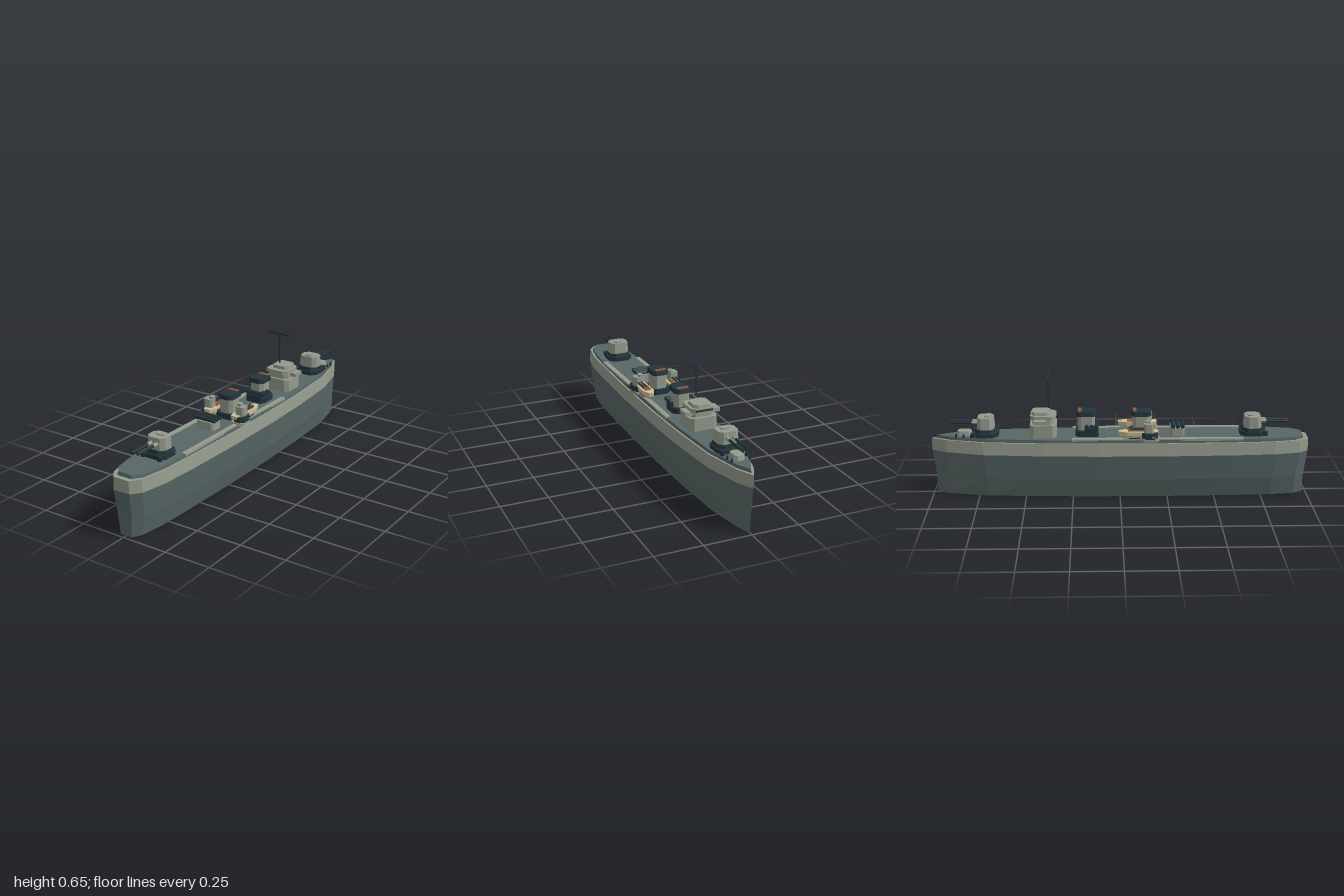
import * as THREE from 'three';

const paint = (name, color) => {
  const m = new THREE.MeshStandardMaterial({ color, flatShading: true });
  m.name = name;
  return m;
};

// Stacks scaled copies of a closed outline; levels are [y, scaleX, scaleZ]
function loft(outline, levels) {
  const n = outline.length, pos = [];
  const at = (l, i) => [outline[i % n][0] * l[1], l[0], outline[i % n][1] * l[2]];
  const tri = (...p) => p.forEach(v => pos.push(...v));
  for (let k = 0; k < levels.length - 1; k++) {
    const lo = levels[k], hi = levels[k + 1];
    for (let i = 0; i < n; i++) {
      tri(at(lo, i), at(hi, i), at(lo, i + 1));
      tri(at(lo, i + 1), at(hi, i), at(hi, i + 1));
    }
  }
  const bottom = levels[0], top = levels[levels.length - 1];
  for (let i = 0; i < n; i++) {
    tri([0, bottom[0], 0], at(bottom, i), at(bottom, i + 1));
    tri([0, top[0], 0], at(top, i + 1), at(top, i));
  }
  const g = new THREE.BufferGeometry();
  g.setAttribute('position', new THREE.Float32BufferAttribute(pos, 3));
  g.computeVertexNormals();
  return g;
}

// Mirrors the +x half of an outline (bow to stern) to the other side
const mirrored = half => [...half, ...half.filter(p => p[0] > 0).reverse().map(([x, z]) => [-x, z])];

// Rectangle with cut corners
const octagon = (w, d, c) => mirrored([[w / 2 - c, -d / 2], [w / 2, -d / 2 + c], [w / 2, d / 2 - c], [w / 2 - c, d / 2]]);

export function createModel() {
  const ship = new THREE.Group();
  ship.name = 'warship';
  const slate = paint('slate grey', 0x596767);
  const light = paint('light grey', 0x949b8d);
  const navy = paint('dark navy', 0x22343c);
  const cream = paint('cream', 0xcbc09a);
  const brown = paint('brown', 0x8c5c3c);

  const add = (parent, name, geo, mat, x = 0, y = 0, z = 0) => {
    const m = new THREE.Mesh(geo, mat);
    m.name = name;
    m.position.set(x, y, z);
    parent.add(m);
    return m;
  };
  const group = (name, x, y, z) => {
    const g = new THREE.Group();
    g.name = name;
    g.position.set(x, y, z);
    ship.add(g);
    return g;
  };
  const box = (p, name, mat, w, h, d, x, y, z) => add(p, name, new THREE.BoxGeometry(w, h, d), mat, x, y, z);
  // Cut-corner block standing on y
  const block = (p, name, mat, w, h, d, c, x, y, z, taper = 1) =>
    add(p, name, loft(octagon(w, d, c), [[0, 1, 1], [h, taper, taper]]), mat, x, y, z);
  // Rod lying along z or x
  const rod = (p, name, mat, r, len, axis, x, y, z) => {
    const g = new THREE.CylinderGeometry(r, r, len, 8);
    axis === 'z' ? g.rotateX(Math.PI / 2) : g.rotateZ(Math.PI / 2);
    return add(p, name, g, mat, x, y, z);
  };

  // Hull and deck
  const outline = mirrored([[0, -1], [0.043, -0.92], [0.095, -0.72], [0.121, -0.4], [0.132, -0.1],
    [0.133, 0.25], [0.125, 0.6], [0.114, 0.82], [0.088, 0.95], [0.048, 1]]);
  add(ship, 'lowerHull', loft(outline, [[0, 0.68, 0.98], [0.105, 0.88, 0.983], [0.24, 1, 1]]), slate);
  add(ship, 'upperHullBand', loft(outline, [[0.24, 1, 1], [0.307, 0.94, 1]]), light);
  add(ship, 'deck', loft(outline, [[0.306, 0.87, 0.975], [0.324, 0.86, 0.97]]), slate);
  for (const s of [-1, 1]) box(ship, 'deckEdgeStrip', light, 0.026, 0.012, 0.9, s * 0.1, 0.324, 0.197);

  // Twin-gun turrets; barrels point along local +z
  for (const [name, z, turn] of [['sternTurret', 0.705, 0], ['bowTurret', -0.71, Math.PI]]) {
    const t = group(name, 0, 0.322, z);
    t.rotation.y = turn;
    block(t, 'turretBase', navy, 0.134, 0.024, 0.135, 0.03, 0, 0, 0);
    block(t, 'turretRing', navy, 0.12, 0.02, 0.115, 0.028, 0, 0.022, 0, 0.94);
    block(t, 'gunHouse', light, 0.112, 0.062, 0.09, 0.022, 0, 0.041, 0, 0.92);
    block(t, 'roofHatch', light, 0.05, 0.007, 0.035, 0.008, 0, 0.102, -0.012);
    for (const s of [-1, 1]) {
      rod(t, 'gunBarrel', navy, 0.007, 0.16, 'z', s * 0.017, 0.074, 0.108);
      rod(t, 'barrelSleeve', light, 0.0095, 0.04, 'z', s * 0.017, 0.074, 0.052);
      block(t, 'ammoLocker', navy, 0.024, 0.026, 0.024, 0.006, s * 0.05, 0, 0.065);
    }
  }

  // Foredeck house and bollards
  block(ship, 'foredeckHatch', light, 0.058, 0.026, 0.085, 0.014, 0, 0.322, -0.825, 0.85);
  for (const s of [-1, 1])
    for (let i = 0; i < 3; i++)
      add(ship, 'bollard', new THREE.CylinderGeometry(0.006, 0.006, 0.018, 8), navy, s * (0.053 - i * 0.003), 0.331, -0.785 - i * 0.04);

  // Bridge
  const b = group('bridge', 0, 0.322, -0.405);
  block(b, 'bridgeLowerHouse', light, 0.15, 0.07, 0.14, 0.02, 0, 0, 0);
  block(b, 'bridgeMiddleHouse', light, 0.12, 0.03, 0.11, 0.018, 0, 0.068, 0);
  box(b, 'bridgeWings', light, 0.19, 0.02, 0.065, 0, 0.091, -0.015);
  block(b, 'bridgeUpperHouse', light, 0.13, 0.022, 0.135, 0.022, 0, 0.096, 0);
  block(b, 'bridgeRoof', light, 0.1, 0.018, 0.1, 0.018, 0, 0.117, -0.012, 0.94);
  box(b, 'bridgeWindows', navy, 0.09, 0.01, 0.004, 0, 0.107, -0.067);

  // Mast
  add(ship, 'mast', new THREE.CylinderGeometry(0.005, 0.005, 0.17, 8), navy, 0, 0.56, -0.375);
  box(ship, 'mastYard', navy, 0.137, 0.01, 0.01, 0, 0.643, -0.375);

  // Funnels
  for (const [name, z] of [['forwardFunnel', -0.177], ['aftFunnel', 0.113]]) {
    const f = group(name, 0, 0.322, z);
    block(f, 'funnelBase', navy, 0.114, 0.032, 0.115, 0.022, 0, 0, 0);
    block(f, 'funnelBody', light, 0.08, 0.082, 0.09, 0.016, 0, 0.03, 0);
    block(f, 'funnelCap', navy, 0.092, 0.024, 0.11, 0.018, 0, 0.109, 0, 0.94);
    box(f, 'funnelVent', brown, 0.06, 0.006, 0.018, 0, 0.135, -0.035);
  }

  // Tube racks lying across the deck
  for (const [z, y] of [[0.305, 0.379], [-0.15, 0.376]]) {
    const r = group('tubeRack', 0, y, z);
    block(r, 'rackBase', z > 0 ? light : navy, 0.105, 0.046, 0.075, 0.01, 0, -0.057, 0);
    for (const i of [-1, 0, 1]) rod(r, 'tube', navy, 0.0115, 0.118, 'x', 0, 0, i * 0.025);
  }

  // Boats and side guns
  const boatOutline = mirrored([[0.012, -0.105], [0.03, -0.06], [0.03, 0.07], [0.018, 0.105]]);
  for (const s of [-1, 1]) {
    const boat = group('boat', s * 0.086, 0, 0.095);
    add(boat, 'boatHull', loft(boatOutline, [[0.33, 0.65, 0.85], [0.347, 0.95, 0.97], [0.368, 1, 1]]), cream);
    box(boat, 'boatCover', brown, 0.034, 0.008, 0.09, 0, 0.37, -0.01);
    box(boat, 'boatCradle', navy, 0.045, 0.016, 0.1, 0, 0.328, 0);

    const g = group('sideGun', s * 0.1, 0.32, 0.155);
    block(g, 'gunPlatform', light, 0.072, 0.016, 0.1, 0.018, 0, 0, 0);
    block(g, 'gunTub', navy, 0.066, 0.03, 0.085, 0.018, s * 0.003, 0.014, 0);
    block(g, 'gunShield', light, 0.052, 0.05, 0.05, 0.01, 0, 0.042, -0.005);
    block(g, 'shieldTop', light, 0.026, 0.014, 0.03, 0.005, -s * 0.012, 0.09, -0.01);
    for (const i of [-1, 1]) rod(g, 'sideGunBarrel', navy, 0.004, 0.08, 'z', i * 0.009, 0.064, -0.065);
    box(g, 'ammoBox', s < 0 ? brown : navy, 0.014, 0.01, 0.02, s * 0.034, 0.024, 0.02);
  }

  return ship;
}
